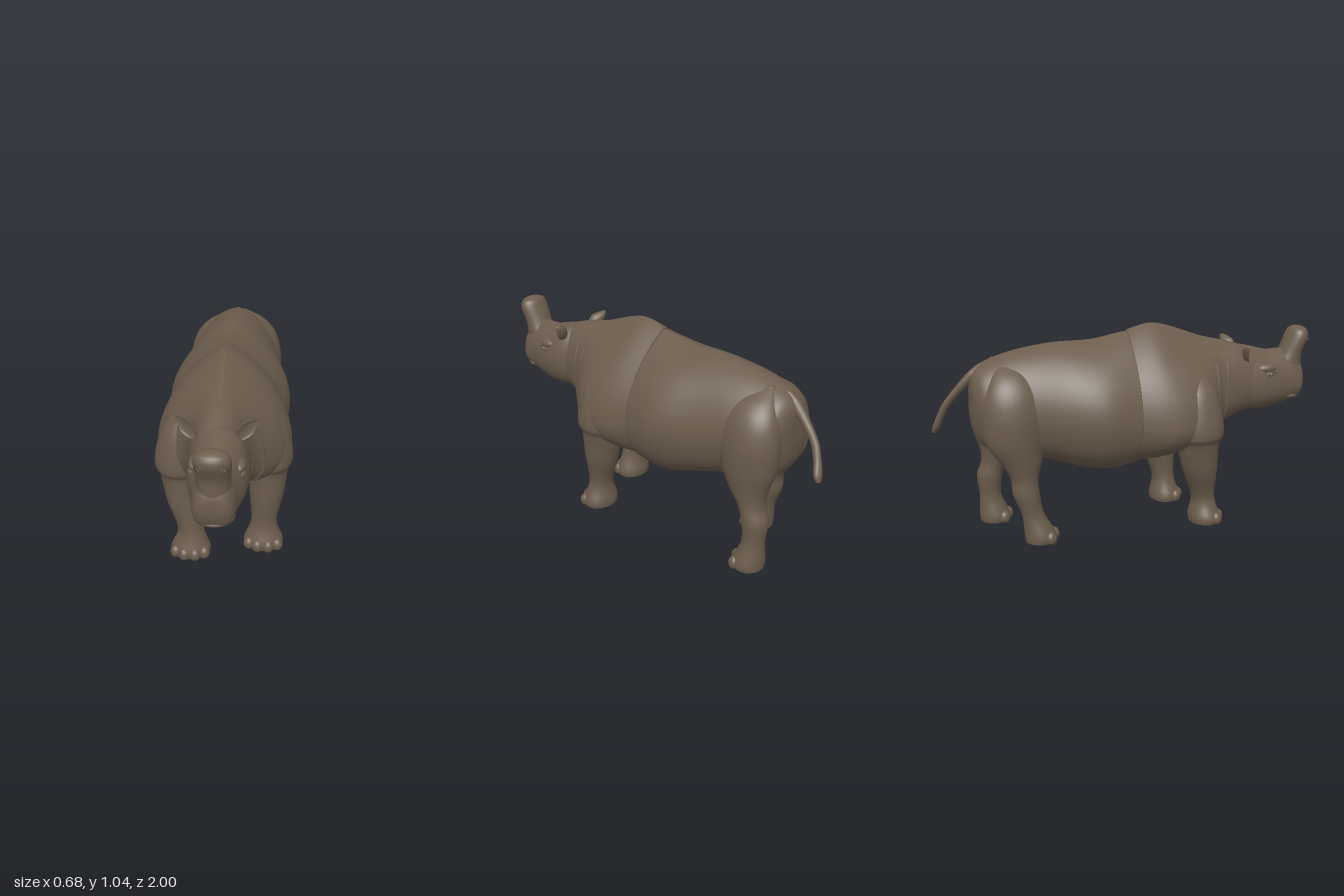
import * as THREE from 'three';

const hide = new THREE.MeshStandardMaterial({ color: 0x6b5d4e });
hide.name = 'brownHide';

// Catmull-Rom blend of rows of numbers, u runs from 0 to rows.length - 1
function sample(rows, u) {
  const i = Math.min(Math.floor(u), rows.length - 2), t = u - i;
  const at = j => rows[Math.max(0, Math.min(rows.length - 1, j))];
  const [a, b, c, d] = [at(i - 1), at(i), at(i + 1), at(i + 2)];
  return b.map((p, n) => p + 0.5 * t * (c[n] - a[n] + t * (2 * a[n] - 5 * p + 4 * c[n] - d[n]
    + t * (3 * (p - c[n]) + d[n] - a[n]))));
}

// Cross-section facing z: [z, top, bottom, widest y, half width, upper exponent]
function trunkPoint([z, top, bottom, mid, w, k], a) {
  const c = Math.cos(a), s = Math.sin(a);
  const x = Math.sign(c) * Math.pow(Math.abs(c), s > 0 ? k : 0.75) * w;
  return [x, mid + s * (s > 0 ? top - mid : mid - bottom), z];
}

// Cross-section facing y: [y, centre x, centre z, radius x, radius z]
function limbPoint([y, cx, cz, rx, rz], a) {
  return [cx + Math.cos(a) * rx, y, cz + Math.sin(a) * rz];
}

// Closed skin through interpolated cross-sections
function loft(rows, point, sides = 40, steps = 7) {
  const pos = [], idx = [], total = (rows.length - 1) * steps;
  const addRing = row => {
    for (let j = 0; j < sides; j++) pos.push(...point(row, j / sides * Math.PI * 2));
  };
  for (let i = 0; i <= total; i++) addRing(sample(rows, i / steps));
  for (let i = 0; i < total; i++) for (let j = 0; j < sides; j++) {
    const a = i * sides + j, b = i * sides + (j + 1) % sides;
    idx.push(a, b, a + sides, b, b + sides, a + sides);
  }
  [rows[0], rows[rows.length - 1]].forEach((row, end) => {
    const start = pos.length / 3;
    addRing(row);
    const p = point(row, 0), q = point(row, Math.PI);
    pos.push((p[0] + q[0]) / 2, (p[1] + q[1]) / 2, (p[2] + q[2]) / 2);
    for (let j = 0; j < sides; j++) {
      const a = start + j, b = start + (j + 1) % sides, m = start + sides;
      if (end) idx.push(a, b, m); else idx.push(b, a, m);
    }
  });
  // turn the skin outward when the signed volume is negative
  let volume = 0;
  const v = i => new THREE.Vector3(pos[3 * i], pos[3 * i + 1], pos[3 * i + 2]);
  for (let i = 0; i < idx.length; i += 3) volume += v(idx[i]).dot(v(idx[i + 1]).cross(v(idx[i + 2])));
  if (volume < 0) idx.reverse();
  const g = new THREE.BufferGeometry();
  g.setAttribute('position', new THREE.Float32BufferAttribute(pos, 3));
  g.setIndex(idx);
  g.computeVertexNormals();
  return g;
}

// Leg profiles: [y, share of the way from top to foot, inward shift, backward bend, radius x, radius z]
const frontLeg = [
  [0.82, 0, 0.07, 0, 0.04, 0.05], [0.72, 0, 0.02, 0, 0.084, 0.1], [0.6, 0, 0, 0, 0.107, 0.128],
  [0.5, 0, 0, 0, 0.119, 0.136], [0.445, 0.1, 0, 0, 0.1, 0.11], [0.3, 0.4, 0, 0, 0.087, 0.091],
  [0.14, 1, 0, 0.008, 0.066, 0.061], [0.035, 1, 0, 0, 0.1, 0.081], [0, 1, 0, 0, 0.097, 0.079]];
const hindLeg = [
  [0.9, 0, 0.1, 0, 0.02, 0.05], [0.84, 0, 0.05, 0, 0.075, 0.1], [0.76, 0, 0.015, 0, 0.1, 0.138],
  [0.65, 0, 0, 0, 0.112, 0.155], [0.52, 0, 0, 0, 0.11, 0.145], [0.41, 0.25, 0, 0, 0.086, 0.1],
  [0.33, 0.5, 0, 0.015, 0.069, 0.068], [0.25, 0.7, 0, 0.032, 0.067, 0.066], [0.14, 0.9, 0, 0.023, 0.059, 0.056],
  [0.035, 1, 0, 0, 0.084, 0.079], [0, 1, 0, 0, 0.081, 0.076]];

export function createModel() {
  const model = new THREE.Group();
  model.name = 'hornedMammal';
  const add = (name, geometry, parent = model) => {
    const mesh = new THREE.Mesh(geometry, hide);
    mesh.name = name;
    parent.add(mesh);
    return mesh;
  };
  const tube = (name, pts, r) => add(name, new THREE.TubeGeometry(
    new THREE.CatmullRomCurve3(pts.map(p => new THREE.Vector3(...p))), 28, r, 8));
  const ball = (name, x, y, z, rx, ry, rz, parent) => add(name,
    new THREE.SphereGeometry(1, 20, 14).scale(rx, ry, rz).translate(x, y, z), parent);

  // Barrel and rump
  add('torso', loft([
    [-0.812, 0.80, 0.62, 0.72, 0.05, 1], [-0.795, 0.845, 0.53, 0.70, 0.12, 1],
    [-0.74, 0.887, 0.46, 0.68, 0.18, 1.1], [-0.60, 0.935, 0.43, 0.66, 0.217, 1.2],
    [-0.40, 0.965, 0.372, 0.62, 0.262, 1.3], [-0.20, 0.97, 0.318, 0.60, 0.315, 1.4],
    [-0.03, 1.0, 0.33, 0.57, 0.297, 1.6], [0.12, 1.0, 0.39, 0.57, 0.26, 1.7]], trunkPoint, 56));

  // Shoulder hump running into the neck, overlapping the barrel
  const foreRows = [
    [-0.015, 1.009, 0.345, 0.57, 0.299, 1.65], [0.10, 1.037, 0.358, 0.55, 0.33, 1.8],
    [0.20, 1.02, 0.38, 0.55, 0.335, 1.9], [0.30, 0.985, 0.40, 0.56, 0.305, 1.8],
    [0.38, 0.957, 0.43, 0.58, 0.245, 1.5], [0.46, 0.937, 0.48, 0.63, 0.17, 1.15],
    [0.56, 0.912, 0.525, 0.68, 0.137, 1], [0.68, 0.87, 0.56, 0.70, 0.115, 1]];
  add('shouldersAndNeck', loft(foreRows, trunkPoint, 56));

  // Shallow skin folds down each side of the neck
  for (const side of [1, -1]) for (const u of [4.6, 5.4]) {
    const pts = [];
    for (let i = 0; i <= 8; i++) {
      const a = 0.7 - i * 0.22;
      const [x, y, z] = trunkPoint(sample(foreRows, u - i * 0.05), a);
      pts.push([side * (x - 0.008), y, z - 0.003]);
    }
    tube('neckFold', pts, 0.012);
  }

  // One leg leaning from its top to its foot, with toes fanned around the front
  const addLeg = (name, profile, topX, topZ, footX, footZ, toes) => {
    const leg = new THREE.Group();
    leg.name = name;
    model.add(leg);
    const rows = profile.map(([y, t, inward, back, rx, rz]) => [
      y, THREE.MathUtils.lerp(topX, footX, t) - Math.sign(topX) * inward,
      THREE.MathUtils.lerp(topZ, footZ, t) - back, rx, rz]);
    add('limb', loft(rows, limbPoint, 32), leg);
    const [, cx, cz, rx, rz] = rows[rows.length - 1];
    for (let i = 0; i < toes; i++) {
      const a = (i / (toes - 1) - 0.5) * 1.8;
      const toe = ball('toe', cx + Math.sin(a) * rx * 0.95, 0.022, cz + Math.cos(a) * rz * 0.88, 0.029, 0.036, 0.03, leg);
      const p = toe.geometry.attributes.position;
      for (let j = 0; j < p.count; j++) p.setY(j, Math.max(0, p.getY(j)));
      toe.geometry.computeVertexNormals();
    }
  };
  addLeg('frontLeftLeg', frontLeg, 0.224, 0.215, 0.207, 0.265, 4);
  addLeg('frontRightLeg', frontLeg, -0.217, 0.295, -0.16, 0.362, 4);
  addLeg('hindLeftLeg', hindLeg, 0.14, -0.65, 0.167, -0.695, 3);
  addLeg('hindRightLeg', hindLeg, -0.146, -0.62, -0.17, -0.515, 3);

  // Head and the broad upright nose horn
  const headX = 0.014;
  add('head', loft([
    [0.50, 0.86, 0.58, 0.72, 0.08, 1], [0.60, 0.893, 0.547, 0.70, 0.13, 1],
    [0.68, 0.88, 0.543, 0.68, 0.139, 1.1], [0.76, 0.86, 0.548, 0.675, 0.128, 1.2],
    [0.84, 0.86, 0.565, 0.67, 0.107, 1.2], [0.90, 0.85, 0.578, 0.67, 0.096, 1.1],
    [0.945, 0.80, 0.595, 0.67, 0.084, 0.9], [0.968, 0.76, 0.645, 0.69, 0.056, 0.9],
    [0.974, 0.72, 0.68, 0.70, 0.02, 1]], trunkPoint, 48)).position.x = headX;
  add('noseHorn', loft([
    [0.68, headX, 0.885, 0.078, 0.085], [0.78, headX, 0.888, 0.076, 0.08], [0.84, headX, 0.907, 0.076, 0.063],
    [0.92, headX, 0.939, 0.081, 0.059], [0.957, headX, 0.945, 0.068, 0.046],
    [0.972, headX, 0.945, 0.038, 0.026], [0.976, headX, 0.945, 0.01, 0.008]], limbPoint));

  // Lips either side of the mouth line
  for (const [y, r] of [[0.636, 0.011], [0.612, 0.012]]) {
    const pts = [];
    for (let i = -6; i <= 6; i++) {
      const a = i / 6 * Math.PI / 2;
      pts.push([headX + 0.081 * Math.sin(a), y, 0.86 + 0.09 * Math.pow(Math.abs(Math.cos(a)), 0.8)]);
    }
    tube('lip', pts, r);
  }

  for (const side of [1, -1]) {
    // Eye with lids and brow
    ball('eye', headX + side * 0.114, 0.745, 0.75, 0.014, 0.013, 0.016);
    const lids = add('eyelids', new THREE.TorusGeometry(0.022, 0.007, 8, 20).scale(1.15, 0.75, 1));
    lids.position.set(headX + side * 0.116, 0.745, 0.75);
    lids.rotation.y = side * 1.3;
    ball('brow', headX + side * 0.1, 0.775, 0.725, 0.028, 0.026, 0.055);

    // Nostril rim
    const nostril = add('nostril', new THREE.TorusGeometry(0.011, 0.004, 8, 16));
    nostril.position.set(headX + side * 0.05, 0.912, 0.98);
    nostril.rotation.y = side * 0.75;

    // Cupped leaf-shaped ear
    const g = new THREE.SphereGeometry(1, 24, 20), p = g.attributes.position;
    for (let i = 0; i < p.count; i++) {
      const x = p.getX(i), y = p.getY(i), z = p.getZ(i);
      p.setXYZ(i, x * 0.038 * (y > 0 ? 1 - 0.5 * y : 1), y * 0.066, (z > 0 ? -0.35 * z : z) * 0.036 + 0.012);
    }
    g.computeVertexNormals();
    const ear = add('ear', g);
    ear.position.set(side * 0.134, 0.877, 0.59);
    ear.rotation.set(0, side * 0.45, -side * 0.88, 'YXZ');
  }

  // Tail, swinging to the left with a flattened tuft
  add('tail', loft([
    [0.88, 0, -0.715, 0.022, 0.05], [0.83, 0, -0.79, 0.025, 0.037], [0.70, 0.024, -0.91, 0.017, 0.023],
    [0.62, 0.048, -0.953, 0.018, 0.019], [0.56, 0.07, -0.975, 0.025, 0.019],
    [0.53, 0.08, -0.985, 0.014, 0.013]], limbPoint, 20));

  return model;
}
